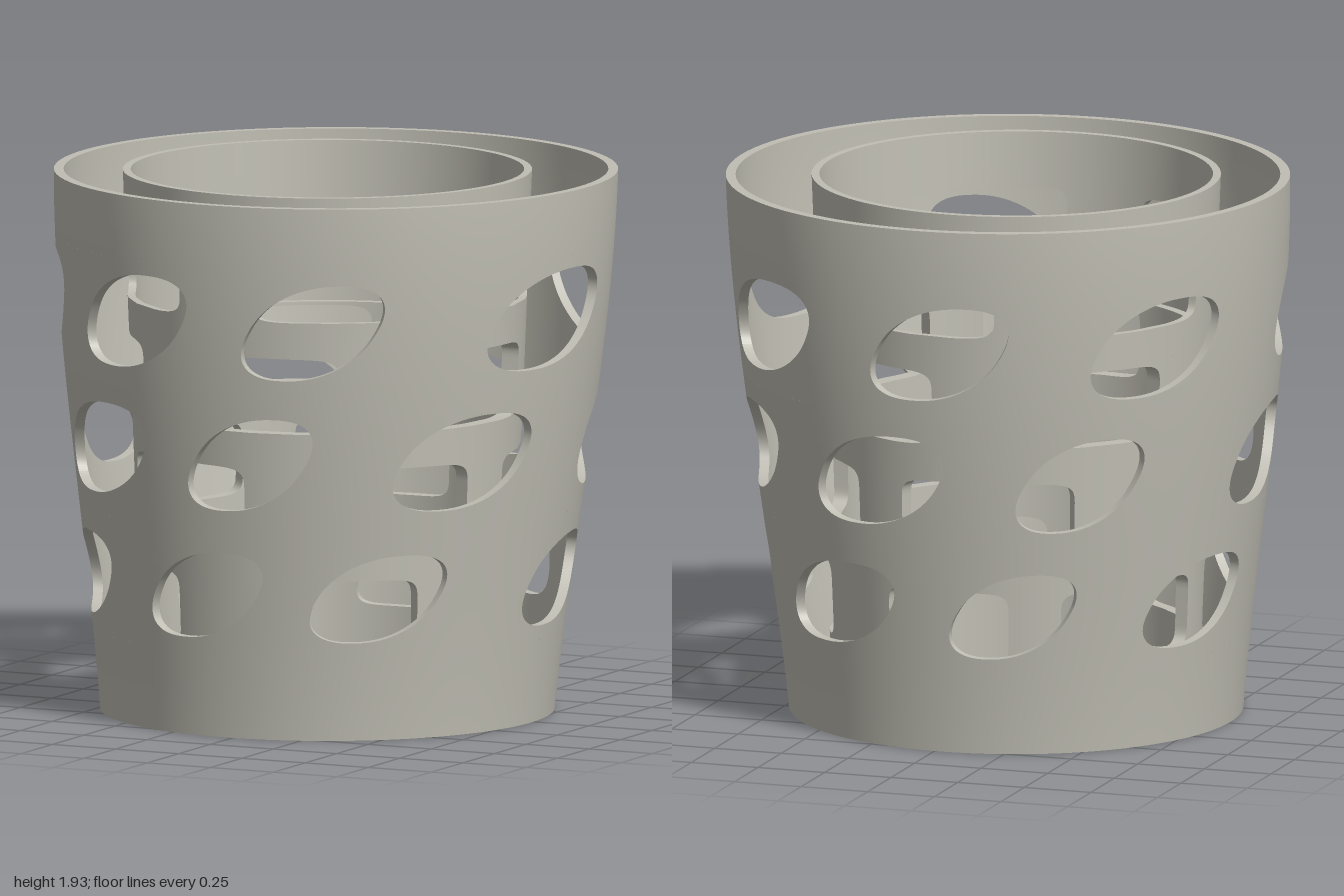
import * as THREE from 'three';
import { mergeGeometries } from 'three/addons/utils/BufferGeometryUtils.js';

const H = 1.93, RAD = Math.PI / 180, FLOOR = 0.1, LEDGE = 1.36;
const lerp = THREE.MathUtils.lerp;

// Radius by height for each wall face
const outerR = y => 0.805 + y * (0.0931 + y * (0.0567 - 0.0273 * y));
const outerBackR = y => outerR(y) - 0.035;
const linerR = y => 0.65 + 0.075 * y / H;
const linerBackR = y => linerR(y) - 0.028;
const boreR = y => 0.61 + 0.03 * y / LEDGE;

// Axis by height as [x, z, depth scale]: the shell leans back to centre at the
// top and is slightly flattened at mid height, the liner stands straight
const linerAxis = () => [-0.024, 0.02, 1];
function shellAxis(y) {
  const k = 1 - y / H, waist = Math.sin(Math.PI * y / H);
  return [-0.024 * k - 0.008 * waist, 0.02 * k - 0.016 * waist, 1 - 0.02 * waist];
}

// Point on a wall from angle, height and radius
function place(theta, y, r, axis) {
  const [x, z, depth] = axis(y);
  return [Math.sin(theta) * r + x, y, Math.cos(theta) * r * depth + z];
}

// Grid of quads over f(u, v); normalOf gives exact normals for curved walls
function patch(f, nu, nv, flip = false, normalOf = null) {
  const pos = [], nor = [], index = [];
  for (let j = 0; j <= nv; j++) for (let i = 0; i <= nu; i++) {
    pos.push(...f(i / nu, j / nv));
    if (normalOf) nor.push(...normalOf(i / nu, j / nv));
    if (i < nu && j < nv) {
      const a = j * (nu + 1) + i, b = a + 1, c = a + nu + 1, d = c + 1;
      if (flip) index.push(a, d, b, a, c, d);
      else index.push(a, b, d, a, d, c);
    }
  }
  const g = new THREE.BufferGeometry();
  g.setAttribute('position', new THREE.Float32BufferAttribute(pos, 3));
  g.setIndex(index);
  if (normalOf) g.setAttribute('normal', new THREE.Float32BufferAttribute(nor, 3));
  else g.computeVertexNormals();
  return g;
}

// Wall face over a map (u, v) -> [theta, y], facing outward or inward
function wallFace(map, rOf, axis, nu, nv, inward) {
  const s = inward ? -1 : 1;
  return patch((u, v) => {
    const [t, y] = map(u, v);
    return place(t, y, rOf(y), axis);
  }, nu, nv, inward, (u, v) => {
    const [t, y] = map(u, v);
    const slope = (rOf(y + 0.001) - rOf(y - 0.001)) / 0.002;
    return new THREE.Vector3(Math.sin(t), -slope, Math.cos(t)).normalize().multiplyScalar(s).toArray();
  });
}

const band = (y0, y1, rOf, axis, inward) =>
  wallFace((u, v) => [u * Math.PI * 2, lerp(y0, y1, v)], rOf, axis, 128, 8, inward);

// Flat ring; faces up when r0 > r1, down when r0 < r1
const ring = (y, r0, r1, axis) =>
  patch((u, v) => place(u * Math.PI * 2, y, lerp(r0, r1, v), axis), 128, 1);

// Rounded opening outline, with a sideways lean towards its top
function opening(c, u) {
  const t = u * Math.PI * 2 - Math.PI * 0.75;
  const p = x => Math.sign(x) * Math.abs(x) ** (2 / c.power);
  return [c.theta + c.hw * p(Math.cos(t)) + c.lean * p(Math.sin(t)), c.y + c.hh * p(Math.sin(t))];
}

// Rectangle border of a cell, walked anticlockwise from the lower left
function border(c, u) {
  const k = Math.min(3, Math.floor(u * 4)), f = u * 4 - k;
  const x = [f, 1, 1 - f, 0][k], y = [0, f, 1, 1 - f][k];
  return [lerp(c.t0, c.t1, x), lerp(c.y0, c.y1, y)];
}

// One wall cell pierced by one opening: both faces and the edge between them
function piercedCell(c, front, back, axis) {
  const map = (u, v) => {
    const a = border(c, u), b = opening(c, u);
    return [lerp(a[0], b[0], v), lerp(a[1], b[1], v)];
  };
  return [
    wallFace(map, front, axis, 80, 5, false),
    wallFace(map, back, axis, 80, 5, true),
    patch((u, v) => {
      const [t, y] = opening(c, u);
      return place(t, y, lerp(front(y), back(y), v), axis);
    }, 80, 1),
  ];
}

// A full turn of cells around openings given as [angle, half width] in degrees
function piercedRow({ holes, ...cell }, front, back, axis) {
  const n = holes.length;
  return holes.flatMap(([a, hw], i) => {
    const prev = i ? holes[i - 1][0] : holes[n - 1][0] - 360;
    const next = i < n - 1 ? holes[i + 1][0] : holes[0][0] + 360;
    return piercedCell({
      ...cell, theta: a * RAD, hw: hw * RAD, t0: (a + prev) / 2 * RAD, t1: (a + next) / 2 * RAD,
    }, front, back, axis);
  });
}

export function createModel() {
  const group = new THREE.Group();
  const material = new THREE.MeshStandardMaterial({ color: 0xc0beb3 });
  material.name = 'warm grey';
  const add = (name, parts) => {
    const mesh = new THREE.Mesh(mergeGeometries(parts), material);
    mesh.name = name;
    group.add(mesh);
  };

  // Flared outer shell with three spiralling rows of leaning ovals
  const oval = { lean: 6 * RAD, power: 2.3 };
  const shellRows = [
    { y0: 0.3, y1: 0.745, y: 0.508, hh: 0.157, holes: [[-55.5, 17.2], [-5.5, 14], [38, 15],
      [97, 16], [152, 16.3], [198.5, 13.5], [248, 15.2]] },
    { y0: 0.745, y1: 1.235, y: 0.99, hh: 0.17, holes: [[-37.5, 17], [7, 13], [57.5, 16.2],
      [117.5, 17.2], [167, 15.2], [214.3, 13], [273, 15.3]] },
    { y0: 1.235, y1: 1.7, y: 1.477, hh: 0.174, holes: [[-22, 14.3], [21.5, 13.5], [79, 17.2],
      [135, 16.2], [183.5, 13.6], [232, 14.3], [291.5, 16]] },
  ];
  add('outerShell', [
    band(0, 0.3, outerR, shellAxis, false),
    band(FLOOR, 0.3, outerBackR, shellAxis, true),
    ...shellRows.flatMap(row => piercedRow({ ...oval, ...row }, outerR, outerBackR, shellAxis)),
    band(1.7, H, outerR, shellAxis, false),
    band(1.7, H, outerBackR, shellAxis, true),
    ring(H, outerR(H), outerBackR(H), shellAxis),
  ]);

  // Inner liner with four staggered rows of rounded windows and a step below the top row
  const pane = { hh: 0.135, lean: 0, power: 7 };
  const even = start => [0, 1, 2, 3, 4].map(k => [start + 72 * k, 27]);
  const linerRows = [
    { y0: 0.215, y1: 0.615, y: 0.415, holes: [[32, 23], [95, 27], [177, 20], [239, 26], [309, 26]] },
    { y0: 0.615, y1: 1.015, y: 0.815, holes: even(46) },
    { y0: 1.015, y1: LEDGE, y: 1.213, holes: even(3) },
    { y0: LEDGE, y1: 1.815, y: 1.605, hh: 0.126, holes: [[28, 24], [95, 26], [167, 26], [237, 26], [314, 25]] },
  ];
  add('innerLiner', [
    band(FLOOR, 0.215, linerR, linerAxis, false),
    band(0, 0.215, boreR, linerAxis, true),
    ...linerRows.flatMap(row => piercedRow({ ...pane, ...row },
      linerR, row.y0 < LEDGE ? boreR : linerBackR, linerAxis)),
    ring(LEDGE, linerBackR(LEDGE), boreR(LEDGE), linerAxis),
    band(1.815, H, linerR, linerAxis, false),
    band(1.815, H, linerBackR, linerAxis, true),
    ring(H, linerR(H), linerBackR(H), linerAxis),
  ]);

  // Solid foot joining the two walls
  add('footRing', [
    ring(0, boreR(0), outerR(0), linerAxis),
    ring(FLOOR, outerBackR(FLOOR) + 0.01, linerR(FLOOR) - 0.01, linerAxis),
  ]);
  return group;
}
